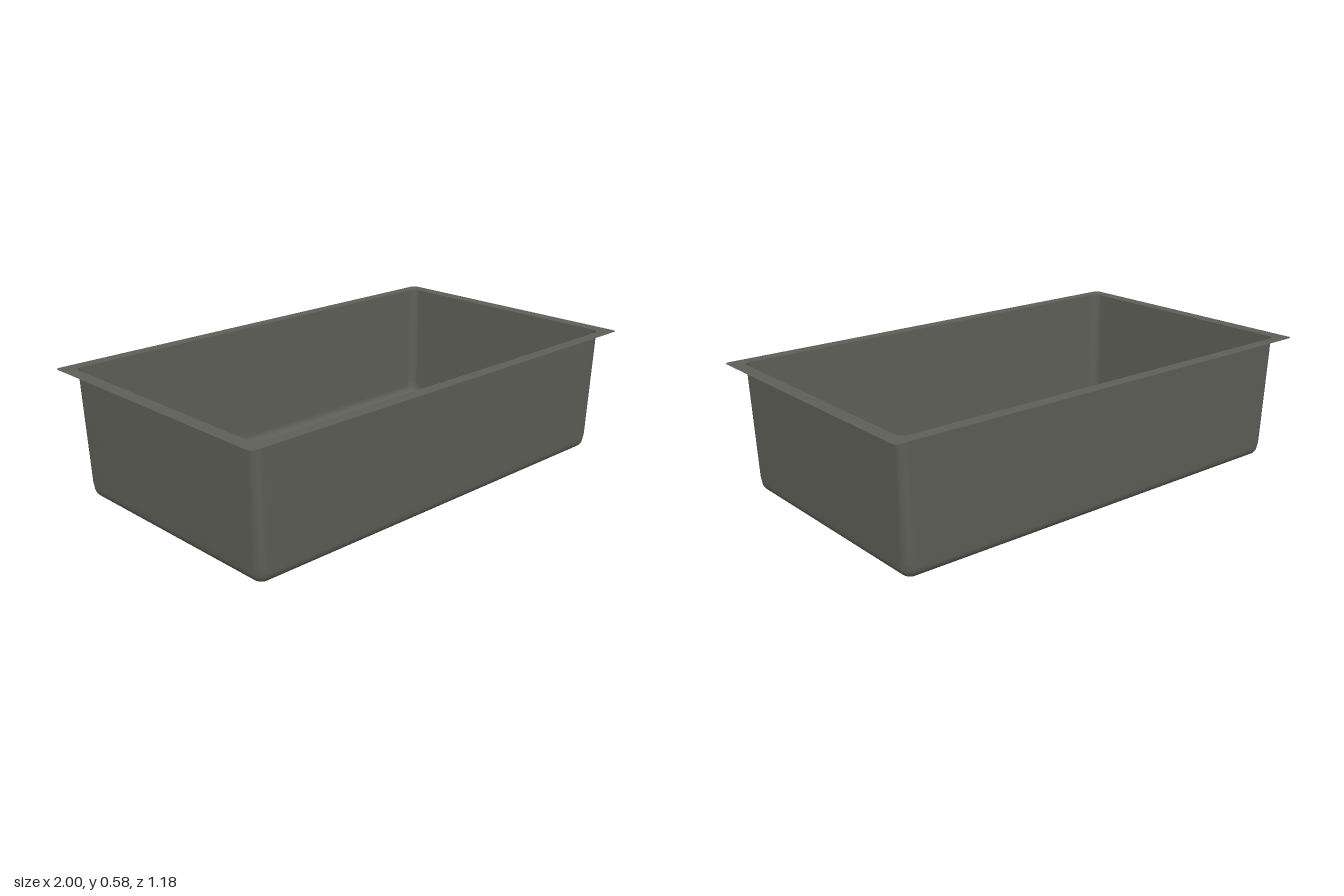
import * as THREE from 'three';

const DRAIN_Z = -0.22, DRAIN_R = 0.135, TOP = 0.58, FLOOR = 0.055;
const CORNER = 6, SIDE = 14;

// Closed loop of a rounded rectangle, with the straight sides subdivided
function roundedLoop(hx, hz, r, y) {
  const pts = [];
  const signs = [[1, 1], [-1, 1], [-1, -1], [1, -1]];
  const arc = (k, i) => {
    const a = (k + i / CORNER) * Math.PI / 2;
    return new THREE.Vector3(signs[k][0] * (hx - r) + r * Math.cos(a), y,
      signs[k][1] * (hz - r) + r * Math.sin(a));
  };
  for (let k = 0; k < 4; k++) {
    for (let i = 0; i <= CORNER; i++) pts.push(arc(k, i));
    const from = arc(k, CORNER), to = arc((k + 1) % 4, 0);
    for (let i = 1; i < SIDE; i++) pts.push(from.clone().lerp(to, i / SIDE));
  }
  return pts;
}

// Skin a list of equal-length closed loops
function skin(loops) {
  const n = loops[0].length, pos = [], index = [];
  loops.forEach(loop => loop.forEach(p => pos.push(p.x, p.y, p.z)));
  for (let i = 0; i < loops.length - 1; i++) {
    for (let j = 0; j < n; j++) {
      const k = (j + 1) % n;
      const a = i * n + j, b = i * n + k, c = a + n, d = b + n;
      index.push(a, c, b, b, c, d);
    }
  }
  const g = new THREE.BufferGeometry();
  g.setAttribute('position', new THREE.Float32BufferAttribute(pos, 3));
  g.setIndex(index);
  g.computeVertexNormals();
  return g;
}

const lathe = (pts, seg = 48) =>
  new THREE.LatheGeometry(pts.map(p => new THREE.Vector2(p[0], p[1])), seg);

export function createModel() {
  const group = new THREE.Group();
  const steel = new THREE.MeshStandardMaterial({ color: 0x5f5f58, side: THREE.DoubleSide });
  steel.name = 'dark steel';
  const add = (name, geometry, parent = group) => {
    const mesh = new THREE.Mesh(geometry, steel);
    mesh.name = name;
    parent.add(mesh);
    return mesh;
  };

  // Flat mounting flange
  add('rim', skin([roundedLoop(1, 0.59, 0.02, TOP), roundedLoop(0.945, 0.54, 0.035, TOP)]));

  // Tapered walls, rounded into the floor
  const fillet = 0.04, loops = [
    roundedLoop(0.945, 0.54, 0.035, TOP),
    roundedLoop(0.932, 0.527, 0.038, FLOOR + fillet + 0.02),
  ];
  for (let i = 0; i <= 7; i++) {
    const a = i / 7 * Math.PI / 2, inset = fillet * (1 - Math.cos(a));
    loops.push(roundedLoop(0.931 - inset, 0.526 - inset, 0.045 - inset,
      FLOOR + fillet * (1 - Math.sin(a))));
  }

  // Floor falling gently to the drain opening
  const edge = loops[loops.length - 1];
  const opening = edge.map(p => {
    const d = new THREE.Vector3(p.x, 0, p.z - DRAIN_Z).setLength(DRAIN_R);
    return new THREE.Vector3(d.x, 0.041, DRAIN_Z + d.z);
  });
  for (const t of [0.05, 0.35, 0.7, 1]) {
    loops.push(edge.map((p, i) => p.clone().lerp(opening[i], t)));
  }
  add('basin', skin(loops));

  // Drain: flared collar, closed cup and slotted strainer
  const drain = new THREE.Group();
  drain.name = 'drain';
  drain.position.z = DRAIN_Z;
  group.add(drain);
  add('drainCollar', lathe([[0.136, 0.041], [0.128, 0.041], [0.118, 0.037], [0.109, 0.03],
    [0.103, 0.022], [0.1, 0.014], [0.1, 0]]), drain);
  add('drainBase', new THREE.CircleGeometry(0.1, 48).rotateX(-Math.PI / 2), drain);

  const plate = new THREE.Shape().absarc(0, 0, 0.092, 0, Math.PI * 2);
  for (let i = 0; i < 28; i++) {
    const a = i / 28 * Math.PI * 2, c = Math.cos(a), s = Math.sin(a);
    const at = (r, w) => new THREE.Vector2(r * c - w * s, r * s + w * c);
    plate.holes.push(new THREE.Path([at(0.052, -0.003), at(0.052, 0.003),
      at(0.084, 0.005), at(0.084, -0.005)]));
  }
  add('strainerPlate', new THREE.ExtrudeGeometry(plate,
    { depth: 0.005, bevelEnabled: false, curveSegments: 48 })
    .rotateX(-Math.PI / 2), drain).position.y = 0.012;
  add('strainerLip', new THREE.TorusGeometry(0.094, 0.005, 8, 48)
    .rotateX(Math.PI / 2), drain).position.y = 0.018;
  add('strainerKnob', lathe([[0.012, 0.015], [0.012, 0.026], [0.02, 0.029], [0.02, 0.034],
    [0.015, 0.037], [0, 0.038]], 24), drain);

  return group;
}
